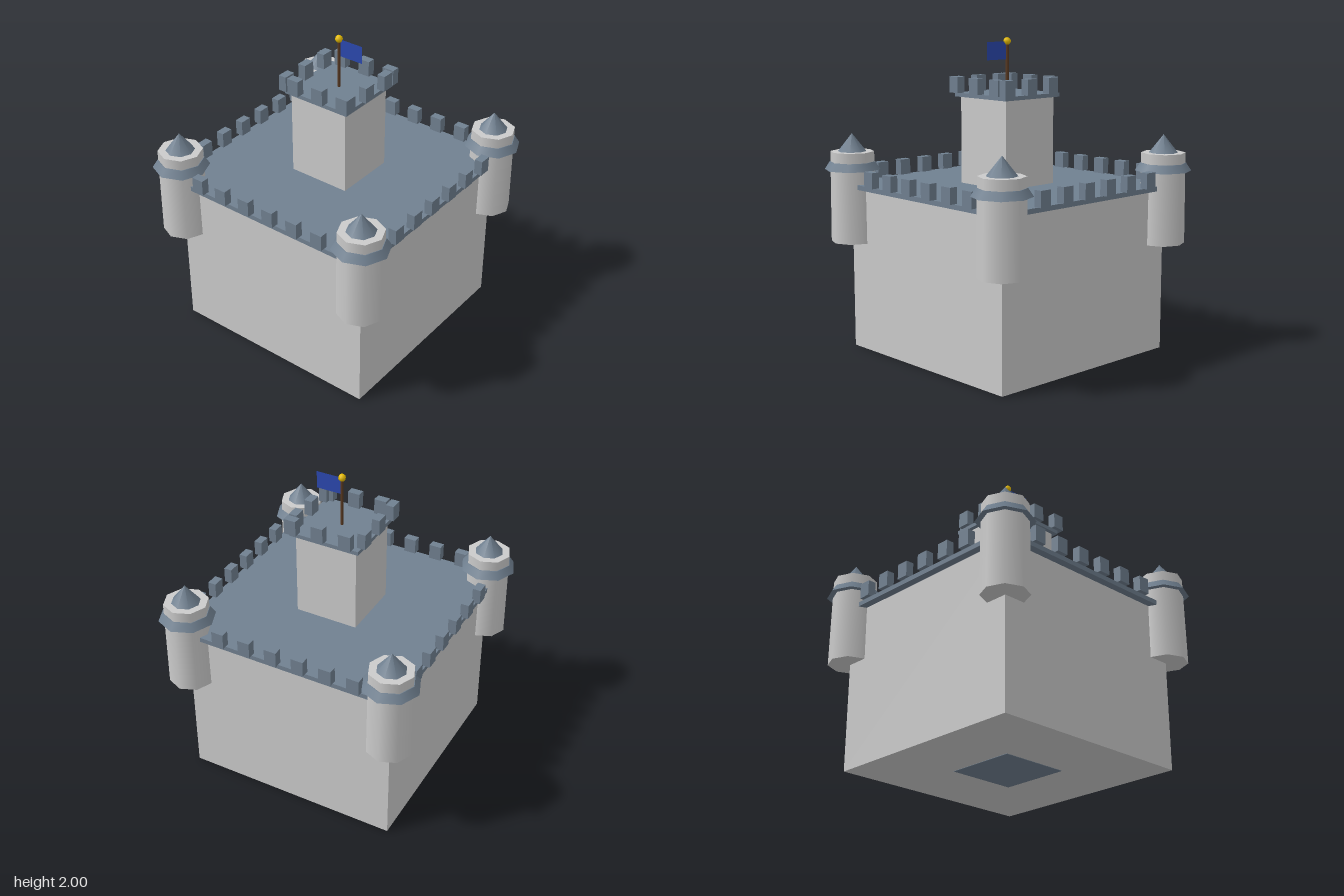
import * as THREE from 'three';

const stone = new THREE.MeshStandardMaterial({ color: 0xcccccc });
const slate = new THREE.MeshStandardMaterial({ color: 0x708090 });
const wood = new THREE.MeshStandardMaterial({ color: 0x5a3a22 });
const gold = new THREE.MeshStandardMaterial({ color: 0xe6bc00 });
const cloth = new THREE.MeshStandardMaterial({ color: 0x2b48ae, side: THREE.DoubleSide });

function add(parent, name, geometry, material, x, y, z) {
  const mesh = new THREE.Mesh(geometry, material);
  mesh.name = name;
  mesh.position.set(x, y, z);
  parent.add(mesh);
  return mesh;
}

// Box given by its width, depth and vertical extent
function addBlock(parent, name, w, d, y0, y1, material, x = 0, z = 0) {
  return add(parent, name, new THREE.BoxGeometry(w, y1 - y0, d), material, x, (y0 + y1) / 2, z);
}

// Battlements along all four edges of a square roof
function addBattlements(parent, name, edge, start, count, y0, y1) {
  const ring = new THREE.Group();
  ring.name = name;
  for (let i = 0; i < count; i++) {
    const t = start + i * 0.184;
    for (const side of [-1, 1]) {
      addBlock(ring, 'merlon', 0.08, 0.053, y0, y1, slate, t, side * edge);
      addBlock(ring, 'merlon', 0.053, 0.08, y0, y1, slate, side * edge, t);
    }
  }
  parent.add(ring);
}

// Eight-sided corner turret with flared collar and pointed roof
function createTurret(x, z) {
  const turret = new THREE.Group();
  turret.name = 'cornerTurret';
  const part = (name, rTop, rBottom, y0, y1, material) =>
    add(turret, name, new THREE.CylinderGeometry(rTop, rBottom, y1 - y0, 8), material, 0, (y0 + y1) / 2, 0);
  part('turretWall', 0.14, 0.145, 0.7, 1.28, stone);
  part('turretCollar', 0.145, 0.178, 1.165, 1.215, slate);
  add(turret, 'turretRoof', new THREE.ConeGeometry(0.091, 0.115, 8), slate, 0, 1.3375, 0);
  turret.position.set(x, 0, z);
  return turret;
}

export function createModel() {
  const castle = new THREE.Group();
  castle.name = 'castle';

  // Main block and its roof
  addBlock(castle, 'mainWalls', 1.4, 1.4, 0.003, 1.05, stone);
  addBlock(castle, 'basePlate', 0.46, 0.46, 0, 0.03, slate);
  addBlock(castle, 'mainRoof', 1.5, 1.5, 1.05, 1.08, slate);
  addBattlements(castle, 'mainBattlements', 0.75, -0.49, 6, 1.08, 1.18);

  // Central keep
  addBlock(castle, 'keepWalls', 0.41, 0.41, 1.06, 1.63, stone);
  addBlock(castle, 'keepRoof', 0.465, 0.465, 1.63, 1.655, slate);
  addBattlements(castle, 'keepBattlements', 0.232, -0.152, 3, 1.655, 1.755);

  // Corner turrets
  for (const x of [-0.697, 0.697])
    for (const z of [-0.697, 0.697]) castle.add(createTurret(x, z));

  // Flagpole
  add(castle, 'flagpole', new THREE.CylinderGeometry(0.01, 0.01, 0.33, 8), wood, 0, 1.815, 0);
  add(castle, 'flagpoleKnob', new THREE.SphereGeometry(0.024, 8, 6), gold, 0, 1.976, 0);
  add(castle, 'flag', new THREE.PlaneGeometry(0.165, 0.112), cloth, 0.09, 1.919, 0);

  return castle;
}
